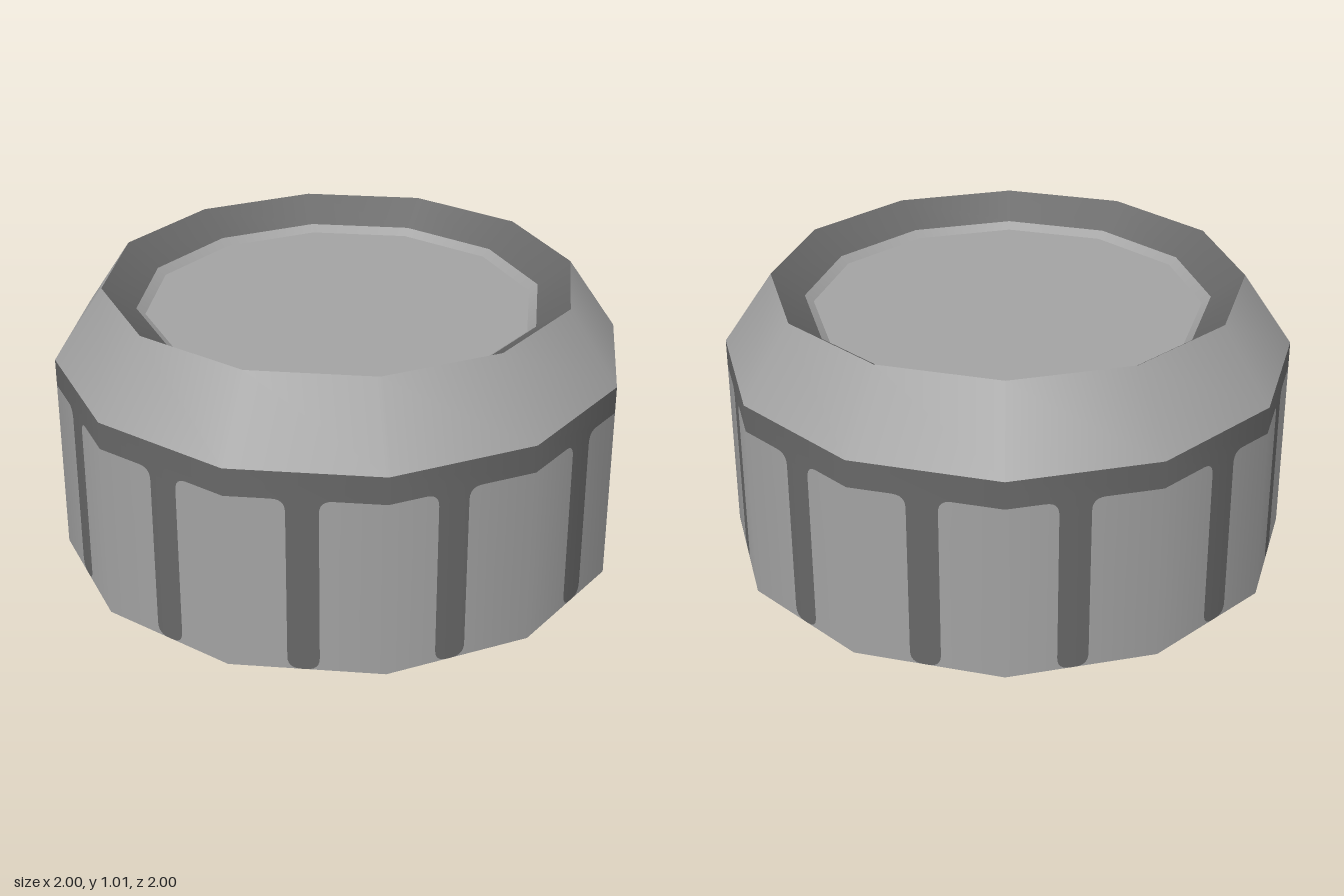
import * as THREE from 'three';
import { mergeGeometries } from 'three/addons/utils/BufferGeometryUtils.js';

const SIDES = 12;
const Y0 = 0.03, Y1 = 0.66, Y2 = 0.757;       // wall bottom, panel top, band top
const LEN = 2 * Math.sin(Math.PI / SIDES);    // width of one wall facet
const HALF = 0.053, R = 0.045;                // groove half width, corner radius

// Dark band with one rounded groove hanging from it
function grooveShape(c) {
  const s = new THREE.Shape();
  const a = c - HALF, b = c + HALF;
  s.moveTo(0, Y2);
  s.lineTo(0, Y1);
  s.lineTo(a - R, Y1);
  s.quadraticCurveTo(a, Y1, a, Y1 - R);
  s.lineTo(a, Y0 + R);
  s.quadraticCurveTo(a, Y0, a + R, Y0);
  s.lineTo(b - R, Y0);
  s.quadraticCurveTo(b, Y0, b, Y0 + R);
  s.lineTo(b, Y1 - R);
  s.quadraticCurveTo(b, Y1, b + R, Y1);
  s.lineTo(LEN, Y1);
  s.lineTo(LEN, Y2);
  return s;
}

// Light half panel between a facet edge and the groove; k is +1 left, -1 right
function panelShape(c, k) {
  const s = new THREE.Shape();
  const edge = k > 0 ? 0 : LEN, a = c - k * HALF;
  s.moveTo(edge, Y0);
  s.lineTo(a + k * R, Y0);
  s.quadraticCurveTo(a, Y0, a, Y0 + R);
  s.lineTo(a, Y1 - R);
  s.quadraticCurveTo(a, Y1, a - k * R, Y1);
  s.lineTo(edge, Y1);
  return s;
}

// Lay a flat shape on facet i, with normals smoothed around the wall
function onFacet(shape, i) {
  const g = new THREE.ShapeGeometry(shape, 6);
  const step = 2 * Math.PI / SIDES;
  const p0 = new THREE.Vector3(Math.sin(i * step), 0, Math.cos(i * step));
  const p1 = new THREE.Vector3(Math.sin((i + 1) * step), 0, Math.cos((i + 1) * step));
  const p = g.attributes.position, n = g.attributes.normal, v = new THREE.Vector3();
  for (let j = 0; j < p.count; j++) {
    const y = p.getY(j);
    v.lerpVectors(p0, p1, p.getX(j) / LEN);
    p.setXYZ(j, v.x, y, v.z);
    v.normalize();
    n.setXYZ(j, v.x, 0, v.z);
  }
  return g;
}

export function createModel() {
  const group = new THREE.Group();
  const light = new THREE.MeshStandardMaterial({ color: 0xa2a2a2 });
  light.name = 'light grey';
  const dark = new THREE.MeshStandardMaterial({ color: 0x676767 });
  dark.name = 'dark grey';

  const add = (name, geometry, material) => {
    const mesh = new THREE.Mesh(geometry, material);
    mesh.name = name;
    group.add(mesh);
  };
  const ring = (name, r0, y0, r1, y1, material) => add(name, new THREE.LatheGeometry(
    [new THREE.Vector2(r0, y0), new THREE.Vector2(r1, y1)], SIDES), material);

  // Outer wall: panels wrap each corner, grooves run down each facet
  const centres = [0.52, 0.48, 0.44, 0.56, 0.52, 0.48];
  const panels = [], grooves = [];
  for (let i = 0; i < SIDES; i++) {
    const c = centres[i % 6] * LEN;
    grooves.push(onFacet(grooveShape(c), i));
    panels.push(onFacet(panelShape(c, 1), i), onFacet(panelShape(c, -1), i));
  }
  add('wallPanels', mergeGeometries(panels), light);
  add('wallGrooves', mergeGeometries(grooves), dark);

  // Sloped shoulder and dished top
  ring('shoulder', 1, Y2, 0.825, 1.015, light);
  ring('dishWall', 0.825, 1.015, 0.71, 0.933, dark);
  ring('dishEdge', 0.71, 0.933, 0.68, 0.91, light);
  ring('dishFloor', 0.68, 0.91, 0, 0.91, light);

  // Underside: rim and hollow
  ring('bottomRim', 0.82, 0, 1, Y0, light);
  ring('hollowWall', 0.72, 0.38, 0.82, 0, dark);
  ring('hollowCeiling', 0, 0.38, 0.72, 0.38, dark);

  return group;
}
